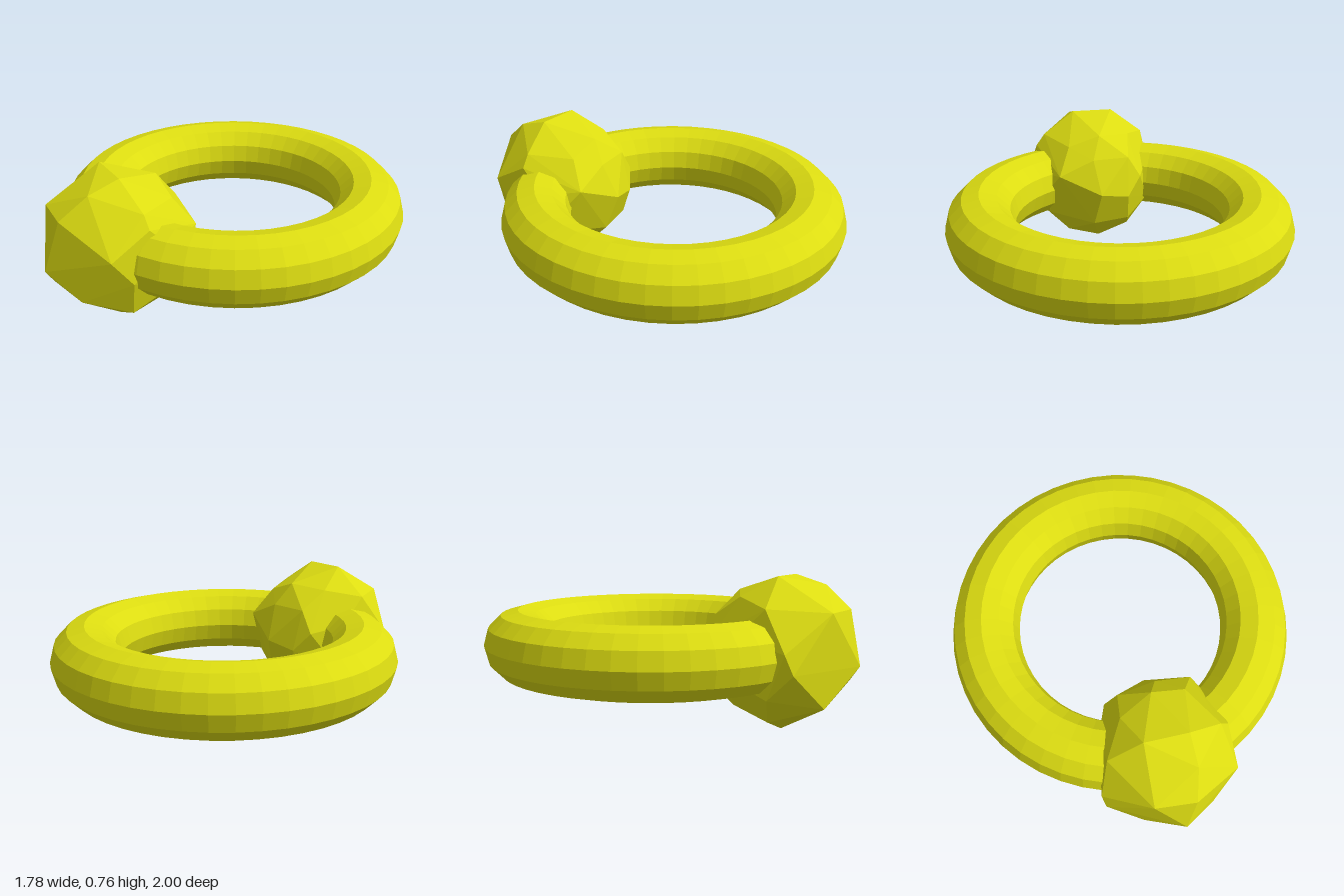
import * as THREE from 'three';
import { ConvexGeometry } from 'three/addons/geometries/ConvexGeometry.js';

export function createModel() {
  const group = new THREE.Group();
  const gold = new THREE.MeshStandardMaterial({ color: 0xdddd11, flatShading: true });

  // Band: a faceted torus lying flat
  const band = new THREE.Mesh(new THREE.TorusGeometry(0.713, 0.177, 12, 48), gold);
  band.name = 'ringBand';
  band.rotation.x = Math.PI / 2;
  band.position.set(0, 0.385, -0.11);
  group.add(band);

  // Stone: irregular faceted nugget, the hull of a few corners
  const corners = [
    // crown
    [-0.12, 0.76, 0.62], [0.10, 0.757, 0.64], [0.09, 0.71, 0.8],
    [0.275, 0.637, 0.62], [0.32, 0.575, 0.62], [-0.30, 0.62, 0.62],
    // front
    [-0.155, 0.6, 0.9], [0.045, 0.6, 0.935], [-0.01, 0.335, 1.0],
    [0.31, 0.465, 0.82], [0.17, 0.225, 0.91], [-0.19, 0.15, 0.88],
    // sides
    [0.33, 0.33, 0.72], [0.275, 0.14, 0.7], [0.33, 0.45, 0.5],
    [-0.37, 0.425, 0.74], [-0.36, 0.33, 0.78], [-0.35, 0.2, 0.65], [-0.30, 0.48, 0.48],
    // underside
    [0.075, 0.02, 0.66], [-0.065, 0, 0.63], [-0.24, 0.07, 0.62],
    [0, 0.06, 0.42], [0.17, 0.1, 0.45], [-0.17, 0.12, 0.42],
    // back
    [0.02, 0.38, 0.225], [0.24, 0.48, 0.31], [0.285, 0.4, 0.37], [0.28, 0.23, 0.42],
    [-0.14, 0.35, 0.255], [-0.22, 0.45, 0.305], [-0.29, 0.28, 0.42],
    [0.05, 0.565, 0.3], [-0.15, 0.565, 0.31], [0, 0.68, 0.38],
    [0.17, 0.62, 0.4], [-0.18, 0.66, 0.45], [0.05, 0.19, 0.29], [-0.15, 0.2, 0.31],
  ].map(p => new THREE.Vector3(...p));
  const stone = new THREE.Mesh(new ConvexGeometry(corners), gold);
  stone.name = 'stone';
  group.add(stone);

  return group;
}
